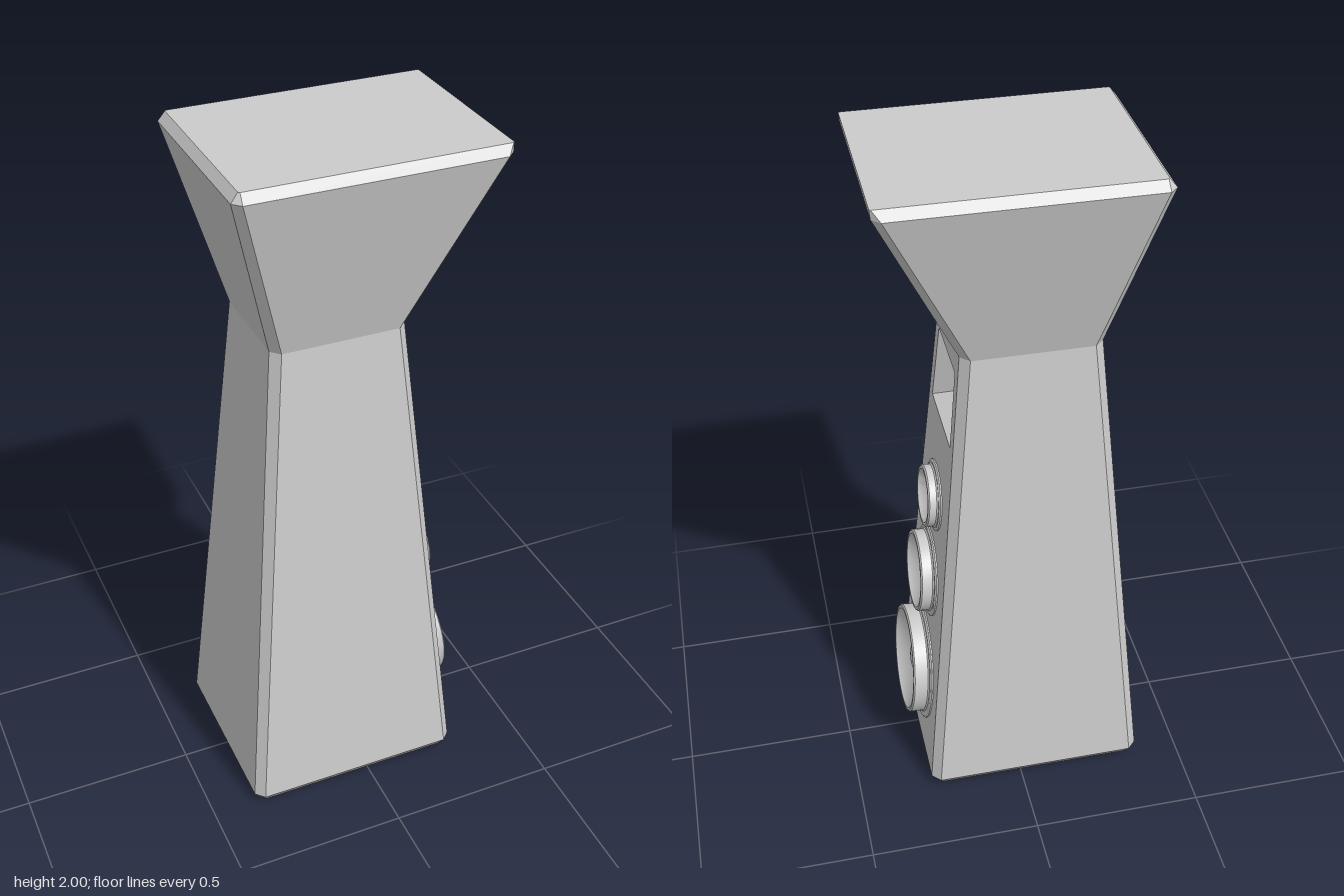
import * as THREE from 'three';
import { toCreasedNormals } from 'three/addons/utils/BufferGeometryUtils.js';

const flat = new THREE.MeshStandardMaterial({ color: 0xcccccc, flatShading: true, side: THREE.DoubleSide });
const smooth = new THREE.MeshStandardMaterial({ color: 0xcccccc, side: THREE.DoubleSide });

// x of the baffle at a height: leaning back below the neck, flaring out above
const NECK = 1.485;
const SLOPE = (0.28 - 0.145) / (NECK - 0.03);
const baffleX = (y) => (y <= NECK ? 0.28 - SLOPE * (y - 0.03) : 0.145 + ((y - NECK) * 0.223) / 0.49);

function mesh(name, geometry, material) {
  const m = new THREE.Mesh(geometry, material);
  m.name = name;
  return m;
}

function fromTriangles(points) {
  const g = new THREE.BufferGeometry();
  g.setAttribute('position', new THREE.Float32BufferAttribute(points.flat(), 3));
  g.computeVertexNormals();
  return g;
}

const quad = (out, a, b, c, d) => out.push(a, b, c, a, c, d);

// Chamfered rectangle, starting at the baffle's +z edge
function section([y, back, front, half, c]) {
  const side = [[front, y, half - c], [front - c, y, half], [back + c, y, half], [back, y, half - c]];
  return [...side, ...side.map(([x, h, z]) => [x, h, -z]).reverse()];
}

// Cabinet shell, leaving the two baffle panels open
function cabinet() {
  const rings = [
    [0, -0.355, 0.265, 0.27, 0.02],
    [0.03, -0.37, 0.28, 0.29, 0.025],
    [NECK, -0.24, 0.145, 0.17, 0.025],
    [1.975, -0.37, 0.368, 0.288, 0.022],
    [2, -0.35, 0.37, 0.267, 0.004],
  ].map(section);
  const out = [];
  for (let r = 0; r < rings.length - 1; r++) {
    const a = rings[r], b = rings[r + 1];
    const sides = r === 1 || r === 2 ? 7 : 8;
    for (let i = 0; i < sides; i++) {
      const j = (i + 1) % 8;
      quad(out, a[j], a[i], b[i], b[j]);
    }
  }
  const top = rings[4], base = rings[0];
  for (let i = 1; i < 7; i++) {
    out.push(base[0], base[i], base[i + 1]);
    out.push(top[0], top[i + 1], top[i]);
  }
  return fromTriangles(out);
}

// Baffle panel drawn as (-z, y), then laid on the sloping front
function baffle(outline, hole) {
  const v = (list) => list.map(([s, y]) => new THREE.Vector2(s, y));
  const shape = new THREE.Shape(v(outline));
  shape.holes.push(new THREE.Path(v(hole)));
  const g = new THREE.ShapeGeometry(shape);
  const p = g.attributes.position;
  for (let i = 0; i < p.count; i++) {
    const s = p.getX(i), y = p.getY(i);
    p.setXYZ(i, baffleX(y), y, -s);
  }
  g.computeVertexNormals();
  return g;
}

// Walls between successive loops, closed by a back panel
function recess(loops) {
  const out = [];
  for (let k = 0; k < loops.length - 1; k++) {
    const a = loops[k], b = loops[k + 1], n = a.length;
    for (let i = 0; i < n; i++) {
      const j = (i + 1) % n;
      quad(out, a[i], a[j], b[j], b[i]);
    }
  }
  const back = loops[loops.length - 1];
  const mid = [0, 1, 2].map((c) => back.reduce((t, p) => t + p[c], 0) / back.length);
  back.forEach((p, i) => out.push(mid, p, back[(i + 1) % back.length]));
  return fromTriangles(out);
}

const place = (loop, xOf) => loop.map(([s, y]) => [xOf(y), y, -s]);
const trapezoid = (low, y0, high, y1) => [[-low, y0], [low, y0], [high, y1], [-high, y1]];

// Six-point horn outline with a middle point in its top and bottom edges
const hornLoop = (low, y0, midY0, high, y1, midY1) =>
  [[-low, y0], [0, midY0], [low, y0], [high, y1], [0, midY1], [-high, y1]];

// Driver: thin flange, raised surround, cone and domed cap
function driver(flange, r, height, cap) {
  const pts = [
    [flange, -0.01], [flange, 0.004], [flange - 0.006, 0.008], [r + 0.004, 0.008],
    [r, 0.012], [r, height - 0.004], [r - 0.004, height], [r - 0.012, height],
    [r - 0.016, height - 0.006], [(r + cap) * 0.48, height * 0.4], [cap, 0.003],
  ];
  for (let i = 1; i <= 8; i++) {
    const t = (i / 8) * Math.PI / 2;
    pts.push([Math.max(cap * Math.cos(t), 0), 0.003 + cap * 0.5 * Math.sin(t)]);
  }
  const g = new THREE.LatheGeometry(pts.map(([x, y]) => new THREE.Vector2(x, y)), 48);
  return toCreasedNormals(g, 0.5);
}

export function createModel() {
  const group = new THREE.Group();
  group.name = 'floorSpeaker';
  group.add(mesh('cabinet', cabinet(), flat));

  // Lower baffle with the square port
  const port = trapezoid(0.13, 1.185, 0.112, 1.415);
  const portBack = trapezoid(0.095, 1.21, 0.08, 1.375);
  group.add(mesh('lowerBaffle', baffle(trapezoid(0.265, 0.03, 0.145, NECK), port), flat));
  group.add(mesh('squarePort', recess([
    place(port, baffleX),
    place(portBack, (y) => baffleX(y) - 0.06),
  ]), flat));

  // Upper baffle with the stepped horn
  const mouth = hornLoop(0.138, 1.5, 1.5, 0.238, 1.965, 1.965);
  const step = hornLoop(0.115, 1.53, 1.535, 0.205, 1.935, 1.925);
  const lip = hornLoop(0.085, 1.59, 1.605, 0.187, 1.92, 1.87);
  const throat = hornLoop(0.07, 1.6, 1.61, 0.145, 1.89, 1.865);
  group.add(mesh('upperBaffle', baffle(trapezoid(0.145, NECK, 0.266, 1.975), mouth), flat));
  group.add(mesh('horn', recess([
    place(mouth, baffleX),
    place(step, (y) => baffleX(y) - 0.02),
    place(lip, (y) => baffleX(y) - 0.022),
    place(throat, () => 0.1),
  ]), flat));

  // Three drivers standing square to the leaning baffle
  const drivers = [
    ['bassDriver', 0.285, 0.19, 0.167, 0.055, 0.063],
    ['midDriver', 0.643, 0.14, 0.122, 0.046, 0.047],
    ['trebleDriver', 0.923, 0.105, 0.09, 0.036, 0.035],
  ];
  for (const [name, y, flange, r, height, cap] of drivers) {
    const d = mesh(name, driver(flange, r, height, cap), smooth);
    d.position.set(baffleX(y), y, 0);
    d.rotation.z = Math.atan(SLOPE) - Math.PI / 2;
    group.add(d);
  }
  return group;
}
